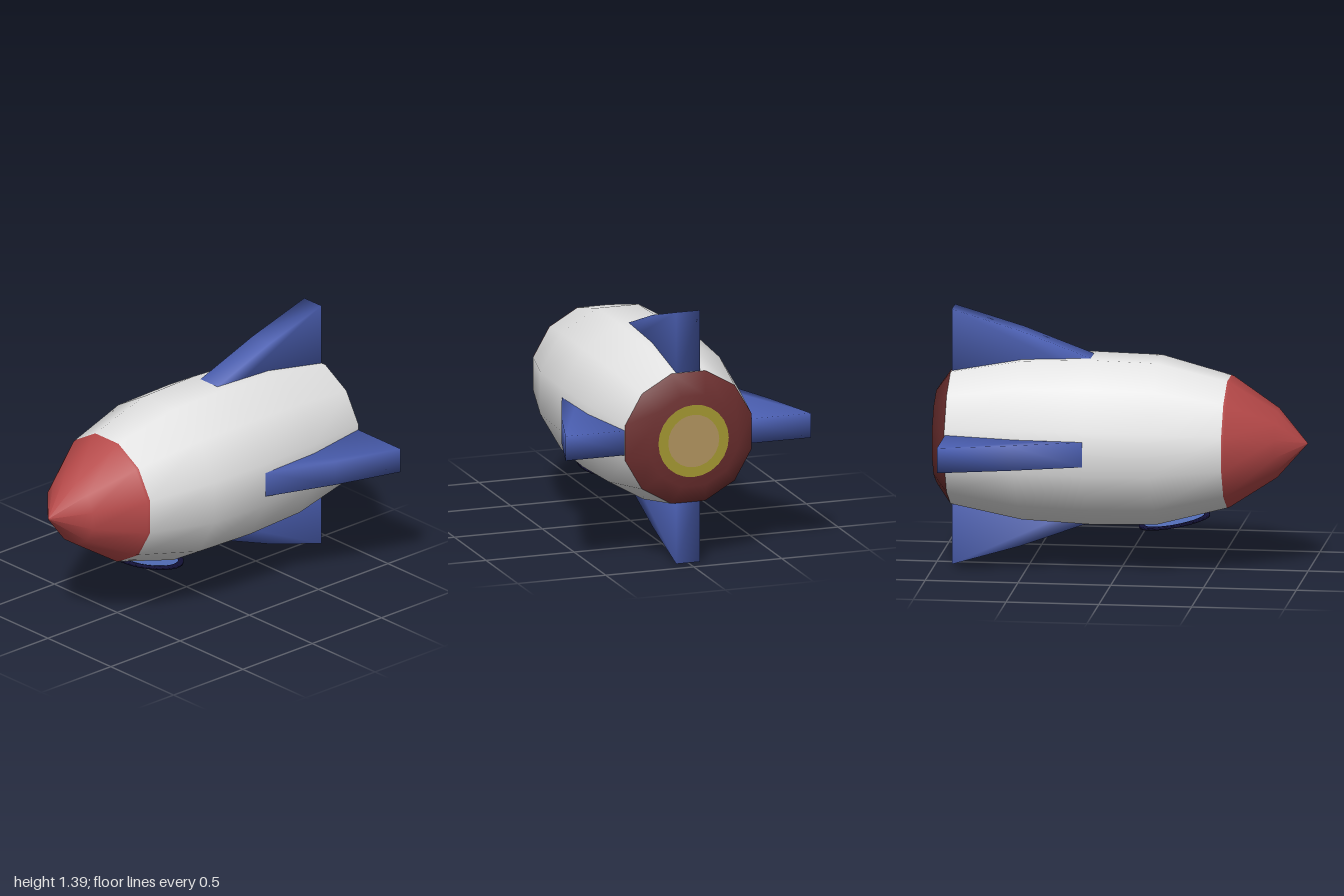
import * as THREE from 'three';
import { mergeVertices } from 'three/addons/utils/BufferGeometryUtils.js';

const SIDES = 12;
const K = 1 / Math.cos(Math.PI / SIDES); // flat-side distance to corner radius

function material(name, color) {
  const m = new THREE.MeshStandardMaterial({ color });
  m.name = name;
  return m;
}

// Twelve-sided shell along z from [z, distance to flat side] pairs, rear to front
function shell(points) {
  const profile = points.map(([z, r]) => new THREE.Vector2(r * K, z));
  const g = new THREE.LatheGeometry(profile, SIDES, Math.PI / SIDES);
  return g.rotateX(Math.PI / 2);
}

// Upright tail fin: side outline in (z, radius), given a thickness in x
function finGeometry() {
  const outline = [[-0.05, 0.3], [-0.16, 0.447], [-0.54, 0.587], [-0.912, 0.697], [-0.912, 0.3]];
  const shape = new THREE.Shape(outline.map(([z, r]) => new THREE.Vector2(z, r)));
  const g = new THREE.ExtrudeGeometry(shape, { depth: 0.136, bevelEnabled: false });
  g.translate(0, 0, -0.068).rotateY(-Math.PI / 2);
  g.deleteAttribute('normal');
  g.deleteAttribute('uv');
  const smooth = mergeVertices(g);
  smooth.computeVertexNormals();
  return smooth;
}

export function createModel() {
  const white = material('hull white', 0xe4e4e4);
  const red = material('nose red', 0xb54848);
  const darkRed = material('tail dark red', 0x6b2e2e);
  const blue = material('fin blue', 0x4a5eb0);
  const glass = material('glass blue', 0x5470bc);
  const navy = material('dark navy', 0x14123a);
  const yellow = material('nozzle yellow', 0xa59832);
  const tan = material('nozzle tan', 0xb29560);

  const model = new THREE.Group();
  model.name = 'rocket';
  const rocket = new THREE.Group();
  rocket.name = 'rocketBody';
  rocket.position.y = 0.7;
  model.add(rocket);

  function add(name, geometry, mat, parent = rocket) {
    const mesh = new THREE.Mesh(geometry, mat);
    mesh.name = name;
    parent.add(mesh);
    return mesh;
  }

  // Hull, nose and tail
  add('hull', shell([[-0.915, 0.36], [-0.53, 0.432], [-0.16, 0.448], [0.2, 0.44], [0.575, 0.345]]), white);
  add('noseCone', shell([[0.575, 0.345], [0.59, 0.34], [0.84, 0.18], [1, 0]]), red);
  add('tailCone', shell([[-0.996, 0], [-0.996, 0.25], [-0.915, 0.36]]), darkRed);

  // Nozzle discs on the tail
  const outer = add('nozzleRim', new THREE.RingGeometry(0.14, 0.2, 24), yellow);
  const inner = add('nozzleCore', new THREE.CircleGeometry(0.145, 24), tan);
  outer.position.z = -0.998;
  inner.position.z = -1;
  for (const disc of [outer, inner]) disc.rotation.y = Math.PI;

  // Four fins around the tail
  const fin = finGeometry();
  ['topFin', 'leftFin', 'bottomFin', 'rightFin'].forEach((name, i) => {
    add(name, fin, blue).rotation.z = -i * Math.PI / 2;
  });

  // Porthole under the nose, tilted to follow the hull
  const porthole = new THREE.Group();
  porthole.name = 'porthole';
  porthole.position.set(0, -0.439, 0.28);
  porthole.rotation.x = -0.18;
  rocket.add(porthole);
  const band = [[0.163, -0.007], [0.193, -0.007], [0.193, 0.007], [0.163, 0.007], [0.163, -0.007]];
  add('portholeFrame', new THREE.LatheGeometry(band.map(([r, y]) => new THREE.Vector2(r, y)), 32), navy, porthole);
  add('portholeGlass', new THREE.CylinderGeometry(0.165, 0.165, 0.006, 32), glass, porthole);

  return model;
}
